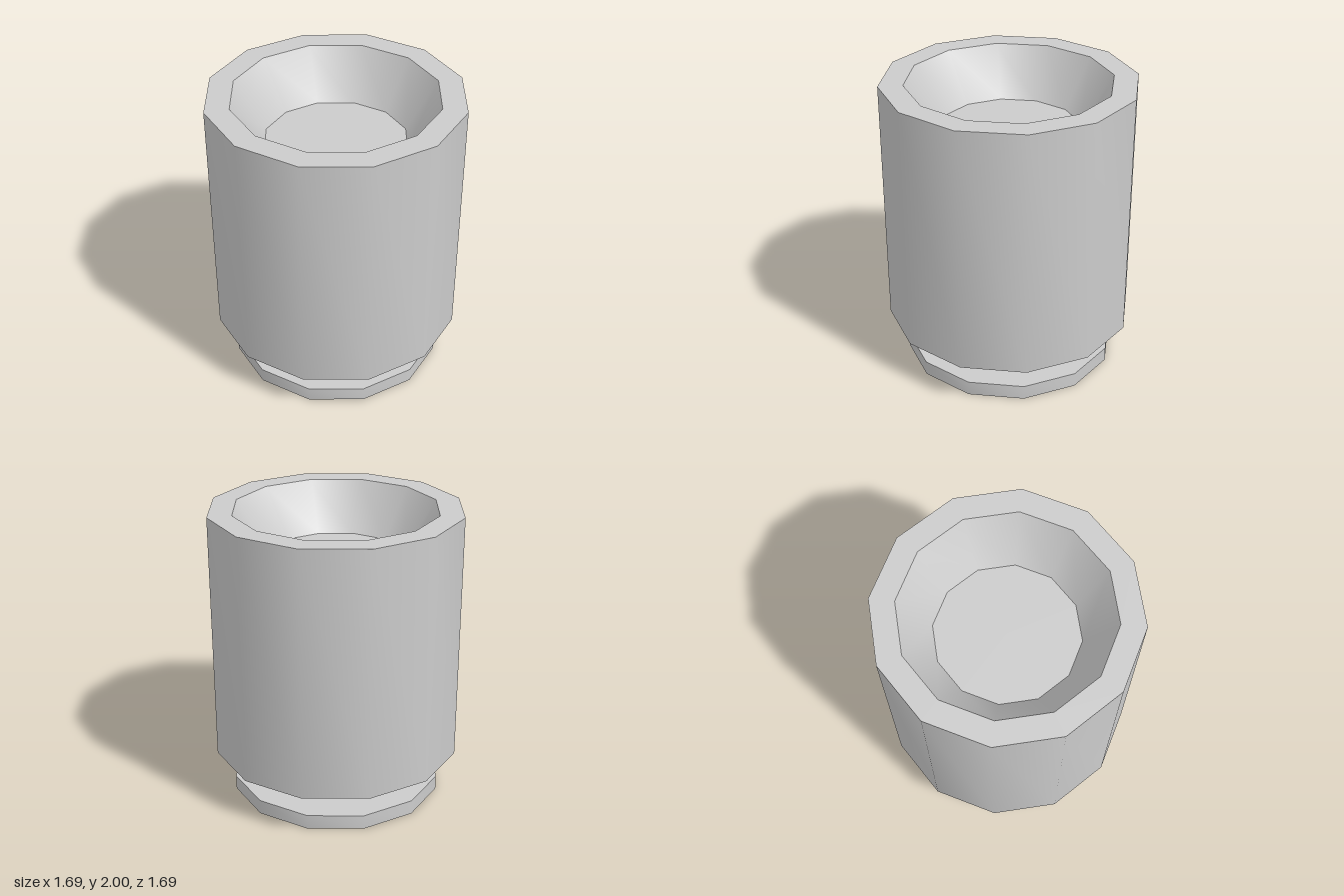
import * as THREE from 'three';
import { toCreasedNormals } from 'three/addons/utils/BufferGeometryUtils.js';

const SIDES = 12;

export function createModel() {
  const group = new THREE.Group();
  const material = new THREE.MeshStandardMaterial({ color: 0xcccccc });

  // Revolves a profile of [radius, y] points, smooth around but sharp at the rims
  const turned = (name, profile) => {
    const points = profile.map(([r, y]) => new THREE.Vector2(r, y));
    const geometry = toCreasedNormals(new THREE.LatheGeometry(points, SIDES), 0.75);
    const mesh = new THREE.Mesh(geometry, material);
    mesh.name = name;
    group.add(mesh);
  };

  // Flat foot disc
  turned('baseDisc', [[0, 0], [0.725, 0], [0.725, 0.1], [0, 0.1]]);

  // Short neck joining the foot to the body
  turned('neck', [[0.38, 0.1], [0.38, 0.305]]);

  // Drum body with a tapered, flat-bottomed recess in the top
  turned('body', [
    [0, 0.305], [0.847, 0.305], [0.847, 2],
    [0.685, 2], [0.475, 1.67], [0, 1.67],
  ]);

  return group;
}
